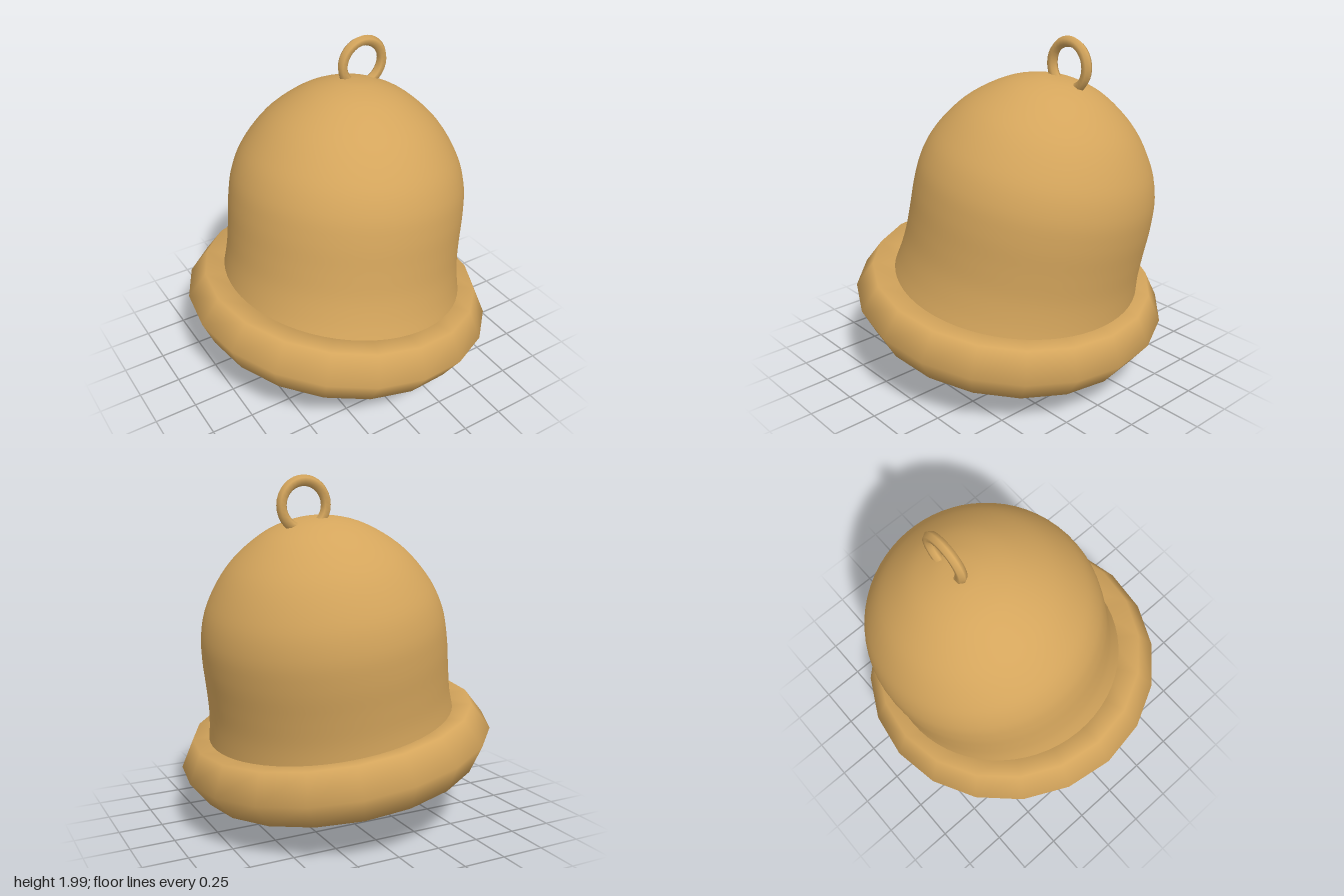
import * as THREE from 'three';

export function createModel() {
  const group = new THREE.Group();
  const brass = new THREE.MeshStandardMaterial({ color: 0xd4a55c, side: THREE.DoubleSide });

  function add(name, geometry, position, rotation = [0, 0, 0]) {
    const mesh = new THREE.Mesh(geometry, brass);
    mesh.name = name;
    mesh.position.set(...position);
    mesh.rotation.set(...rotation);
    group.add(mesh);
    return mesh;
  }

  // Domed body: open shell swung to one side, flaring slightly at the mouth
  const profile = new THREE.SplineCurve([
    [0.735, 0.05], [0.712, 0.16], [0.695, 0.3], [0.692, 0.45], [0.692, 0.62],
    [0.675, 0.78], [0.615, 0.94], [0.485, 1.12], [0.3, 1.262], [0.13, 1.327], [0, 1.34],
  ].map(([r, y]) => new THREE.Vector2(r, y))).getPoints(48);
  profile[profile.length - 1].x = 0;
  add('bellBody', new THREE.LatheGeometry(profile, 64), [0.02, 0.455, -0.015], [-0.115, 0, -0.15]);

  // Heavy six-sided rim around the mouth
  const rim = new THREE.TorusGeometry(0.733, 0.178, 6, 20).rotateX(Math.PI / 2);
  add('rim', rim, [0, 0.455, 0], [0, 0, -0.15]);

  // Clapper ball hanging in the mouth
  add('clapper', new THREE.SphereGeometry(0.21, 12, 8), [-0.015, 0.215, 0], [0, 0, -0.08]);

  // Hanging loop, upright on the crown
  add('hangingLoop', new THREE.TorusGeometry(0.13, 0.03, 6, 32), [0.28, 1.84, -0.185]);

  return group;
}
